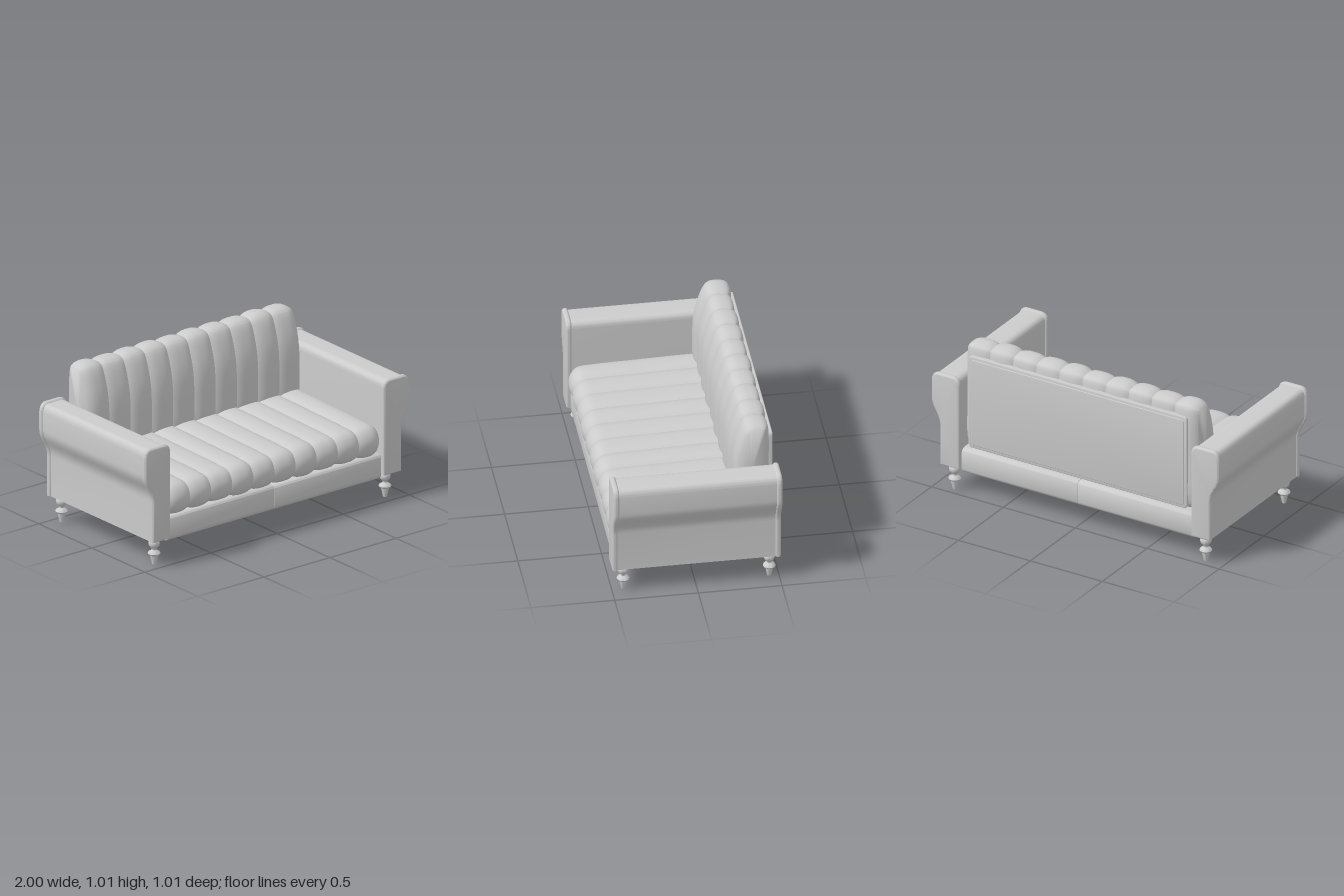
import * as THREE from 'three';
import { toCreasedNormals, mergeVertices } from 'three/addons/utils/BufferGeometryUtils.js';

const material = new THREE.MeshStandardMaterial({ color: 0xcccccc });

function add(parent, name, geometry, x = 0, y = 0, z = 0) {
  const mesh = new THREE.Mesh(geometry, material);
  mesh.name = name;
  mesh.position.set(x, y, z);
  parent.add(mesh);
  return mesh;
}

// Flared armrest outline in x, y; the inset shrinks it on every side but the bottom
function armShape(i = 0) {
  const s = new THREE.Shape();
  s.moveTo(0.805 + i, 0.165);
  s.lineTo(0.94 - i, 0.165);
  s.lineTo(0.94 - i, 0.42);
  s.bezierCurveTo(0.942 - i, 0.5, 1 - i, 0.53, 1 - i, 0.6);
  s.lineTo(1 - i, 0.715);
  s.quadraticCurveTo(0.995 - i, 0.77 - i, 0.95, 0.77 - i);
  s.lineTo(0.86, 0.77 - i);
  s.quadraticCurveTo(0.805 + i, 0.77 - i, 0.805 + i, 0.715);
  s.closePath();
  return s;
}

// Extrusion centred on z with an inward bevel, so the outline keeps its size
function slab(shape, depth, bevel) {
  const g = new THREE.ExtrudeGeometry(shape, {
    depth: depth - 2 * bevel, bevelEnabled: bevel > 0, bevelThickness: bevel,
    bevelSize: bevel, bevelOffset: -bevel, bevelSegments: 3, curveSegments: 12,
  });
  g.translate(0, 0, bevel - depth / 2);
  return toCreasedNormals(g, 0.65);
}

function roundedRect(w, h, r) {
  const s = new THREE.Shape();
  s.absarc(w / 2 - r, h / 2 - r, r, 0, Math.PI / 2);
  s.absarc(r - w / 2, h / 2 - r, r, Math.PI / 2, Math.PI);
  s.absarc(r - w / 2, r - h / 2, r, Math.PI, Math.PI * 1.5);
  s.absarc(w / 2 - r, r - h / 2, r, Math.PI * 1.5, Math.PI * 2);
  s.closePath();
  return s;
}

// One padded channel: a closed [z, y] profile swept along x and pinched at both seams
function channel(profile, x0, x1, pinch0, pinch1, swell) {
  const n = 56, steps = 14;
  const curve = new THREE.CatmullRomCurve3(
    profile.map(([z, y]) => new THREE.Vector3(0, y, z)), true, 'centripetal');
  const ring = [];
  for (let i = 0; i < n; i++) ring.push([curve.getPoint(i / n), curve.getTangent(i / n)]);
  const pos = [], idx = [];
  for (let k = 0; k <= steps; k++) {
    const u = -Math.cos((Math.PI * k) / steps);
    const inset = (u < 0 ? pinch0 : pinch1) * Math.abs(u) ** 3 - swell * (1 - u * u);
    for (const [p, t] of ring)
      pos.push(x0 + (x1 - x0) * (u + 1) / 2, p.y - t.z * inset, p.z + t.y * inset);
  }
  for (let k = 0; k < steps; k++)
    for (let i = 0; i < n; i++) {
      const j = (i + 1) % n, a = k * n + i, b = k * n + j;
      idx.push(a, b, a + n, b, b + n, a + n);
    }
  // End caps
  const mid = profile.reduce((m, [z, y]) => [m[0] + z / profile.length, m[1] + y / profile.length], [0, 0]);
  [0, steps].forEach((k, e) => {
    const c = pos.length / 3;
    pos.push(e ? x1 : x0, mid[1], mid[0]);
    for (let i = 0; i < n; i++) {
      const a = k * n + i, b = k * n + ((i + 1) % n);
      if (e) idx.push(c, a, b); else idx.push(c, b, a);
    }
  });
  const g = new THREE.BufferGeometry();
  g.setAttribute('position', new THREE.Float32BufferAttribute(pos, 3));
  g.setIndex(idx);
  return toCreasedNormals(mergeVertices(g), 0.9);
}

// A cushion of ten channels with slightly uneven padding
function cushion(name, profile, left, right, pinch, seed) {
  const group = new THREE.Group();
  group.name = name;
  const count = 10, w = (right - left) / count;
  for (let i = 0; i < count; i++) {
    const swell = 0.003 + 0.003 * Math.sin(i * 2.3 + seed);
    add(group, name + 'Channel', channel(profile, left + i * w, left + (i + 1) * w,
      i === 0 ? pinch * 1.8 : pinch, i === count - 1 ? pinch * 1.8 : pinch, swell));
  }
  return group;
}

export function createModel() {
  const sofa = new THREE.Group();
  sofa.name = 'sofa';

  // Armrests with a raised rim at each end
  for (const side of [1, -1]) {
    const arm = new THREE.Group();
    arm.name = side > 0 ? 'leftArm' : 'rightArm';
    const body = slab(armShape(0.01), 0.96, 0);
    const cap = slab(armShape(), 0.035, 0.014);
    if (side < 0) for (const g of [body, cap]) g.rotateY(Math.PI);
    add(arm, 'armBody', body);
    for (const z of [0.4875, -0.4875]) add(arm, 'armEndCap', cap, 0, 0, z);
    sofa.add(arm);
  }

  // Base frame in two halves, with softened front and back edges
  const baseProfile = new THREE.Shape();
  baseProfile.moveTo(-0.475, 0.165);
  baseProfile.quadraticCurveTo(-0.47, 0.135, -0.44, 0.135);
  baseProfile.lineTo(0.44, 0.135);
  baseProfile.quadraticCurveTo(0.475, 0.14, 0.48, 0.17);
  baseProfile.lineTo(0.48, 0.27);
  baseProfile.quadraticCurveTo(0.478, 0.295, 0.45, 0.297);
  baseProfile.lineTo(-0.44, 0.297);
  baseProfile.quadraticCurveTo(-0.47, 0.295, -0.475, 0.27);
  baseProfile.closePath();
  const half = slab(baseProfile, 0.806, 0.003);
  half.rotateY(-Math.PI / 2);
  for (const x of [-0.403, 0.403]) add(sofa, 'baseHalf', half, x);

  // Seat cushion
  sofa.add(cushion('seatCushion', [
    [0.475, 0.45], [0.497, 0.4], [0.49, 0.34], [0.465, 0.305], [0.4, 0.297], [0, 0.297],
    [-0.36, 0.297], [-0.4, 0.32], [-0.4, 0.46], [-0.36, 0.492], [-0.2, 0.497], [0.1, 0.491],
    [0.35, 0.485], [0.44, 0.476],
  ], -0.805, 0.792, 0.013, 0.5));

  // Back cushion, leaning back towards its rounded top
  sofa.add(cushion('backCushion', [
    [-0.315, 0.975], [-0.272, 0.87], [-0.25, 0.76], [-0.245, 0.6], [-0.25, 0.45], [-0.27, 0.36],
    [-0.33, 0.32], [-0.43, 0.32], [-0.46, 0.36], [-0.462, 0.65], [-0.46, 0.94], [-0.445, 0.985],
    [-0.39, 1.0], [-0.345, 0.996],
  ], -0.82, 0.787, 0.014, 2));

  // Rear panel, stepped along its edge
  add(sofa, 'backPanel', slab(roundedRect(1.52, 0.605, 0.025), 0.03, 0.006), -0.005, 0.6275, -0.467);
  add(sofa, 'backPanelFace', slab(roundedRect(1.48, 0.565, 0.02), 0.02, 0.003), -0.005, 0.6275, -0.476);

  // Turned legs: tapered foot, ring and ball
  const outline = [[0, 0], [0.012, 0], [0.014, 0.008], [0.023, 0.05], [0.024, 0.056], [0.034, 0.062],
    [0.038, 0.07], [0.034, 0.078], [0.022, 0.085], [0.015, 0.092], [0.016, 0.1]];
  for (let i = 0; i <= 10; i++) {
    const a = -1.05 + (i / 10) * (1.05 + Math.PI / 2);
    outline.push([Math.max(0, 0.034 * Math.cos(a)), 0.133 + 0.034 * Math.sin(a)]);
  }
  const leg = toCreasedNormals(
    new THREE.LatheGeometry(outline.map(([r, y]) => new THREE.Vector2(r, y)), 24), 0.7);
  for (const x of [-0.873, 0.873]) {
    add(sofa, 'frontLeg', leg, x, 0, 0.43);
    add(sofa, 'backLeg', leg, x, 0, -0.443);
  }
  return sofa;
}
